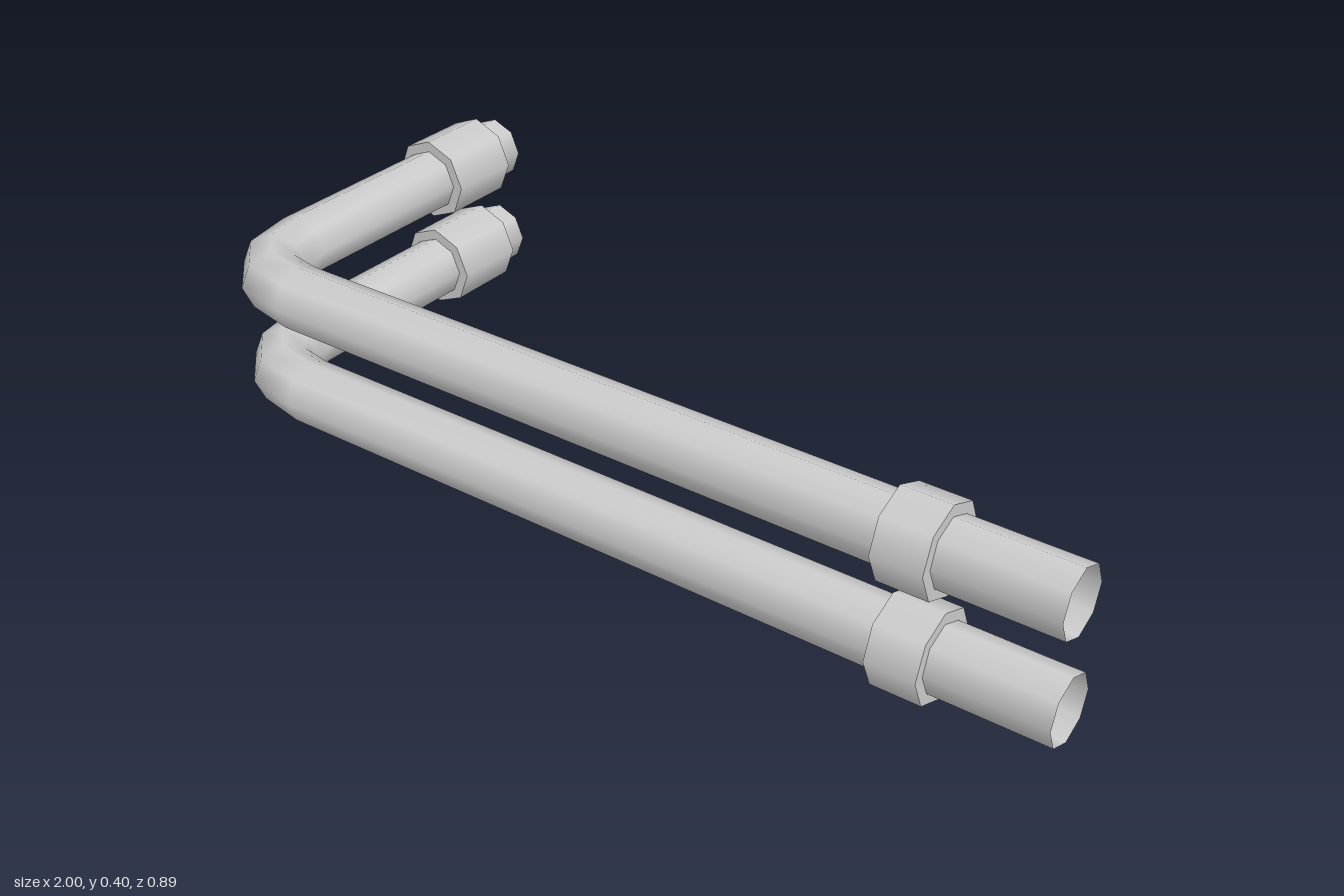
import * as THREE from 'three';
import { mergeGeometries } from 'three/addons/utils/BufferGeometryUtils.js';

const SIDES = 8, PIPE_R = 0.068, COLLAR_R = 0.0915;
const CORNER_X = -0.9085, CORNER_Z = 0.3535, BEND = 0.17;
const material = new THREE.MeshStandardMaterial({ color: 0xcccccc, side: THREE.DoubleSide });

// Open pipe: octagonal rings along a straight run, a three-step bend and a second run
function pipeGeometry() {
  const bend = new THREE.QuadraticBezierCurve3(
    new THREE.Vector3(CORNER_X + BEND, 0, CORNER_Z),
    new THREE.Vector3(CORNER_X, 0, CORNER_Z),
    new THREE.Vector3(CORNER_X, 0, CORNER_Z - BEND));
  const stations = [{ p: new THREE.Vector3(1, 0, CORNER_Z), t: new THREE.Vector3(-1, 0, 0) }];
  for (let i = 0; i <= 3; i++) stations.push({ p: bend.getPoint(i / 3), t: bend.getTangent(i / 3) });
  stations.push({ p: new THREE.Vector3(CORNER_X, 0, -0.445), t: new THREE.Vector3(0, 0, -1) });

  const up = new THREE.Vector3(0, 1, 0), positions = [], index = [];
  stations.forEach(({ p, t }, i) => {
    const side = new THREE.Vector3().crossVectors(t, up);
    for (let j = 0; j < SIDES; j++) {
      const a = (j / SIDES) * Math.PI * 2;
      const v = p.clone().addScaledVector(up, PIPE_R * Math.cos(a)).addScaledVector(side, PIPE_R * Math.sin(a));
      positions.push(v.x, v.y, v.z);
      if (i === stations.length - 1) continue;
      const k = (j + 1) % SIDES, r = i * SIDES, s = r + SIDES;
      index.push(r + j, r + k, s + j, r + k, s + k, s + j);
    }
  });
  const g = new THREE.BufferGeometry();
  g.setAttribute('position', new THREE.Float32BufferAttribute(positions, 3));
  g.setIndex(index);
  g.computeVertexNormals();
  return g;
}

// Collar along z: octagonal sleeve with a flat ring at each end
function collarGeometry(length) {
  const sleeve = new THREE.CylinderGeometry(COLLAR_R, COLLAR_R, length, SIDES, 1, true).rotateX(Math.PI / 2);
  const ring = () => new THREE.RingGeometry(PIPE_R, COLLAR_R, SIDES, 1);
  return mergeGeometries([
    sleeve,
    ring().translate(0, 0, length / 2),
    ring().rotateY(Math.PI).translate(0, 0, -length / 2),
  ]);
}

export function createModel() {
  const model = new THREE.Group();
  model.name = 'pipes';
  const geometries = {
    pipe: pipeGeometry(),
    longRunCollar: collarGeometry(0.102).rotateY(Math.PI / 2).translate(0.711, 0, CORNER_Z),
    shortRunCollar: collarGeometry(0.162).translate(CORNER_X, 0, -0.301),
  };
  for (const [name, y] of [['lowerPipe', COLLAR_R], ['upperPipe', COLLAR_R + 0.219]]) {
    const group = new THREE.Group();
    group.name = name;
    group.position.y = y;
    for (const [part, geometry] of Object.entries(geometries)) {
      const mesh = new THREE.Mesh(geometry, material);
      mesh.name = part;
      group.add(mesh);
    }
    model.add(group);
  }
  return model;
}
